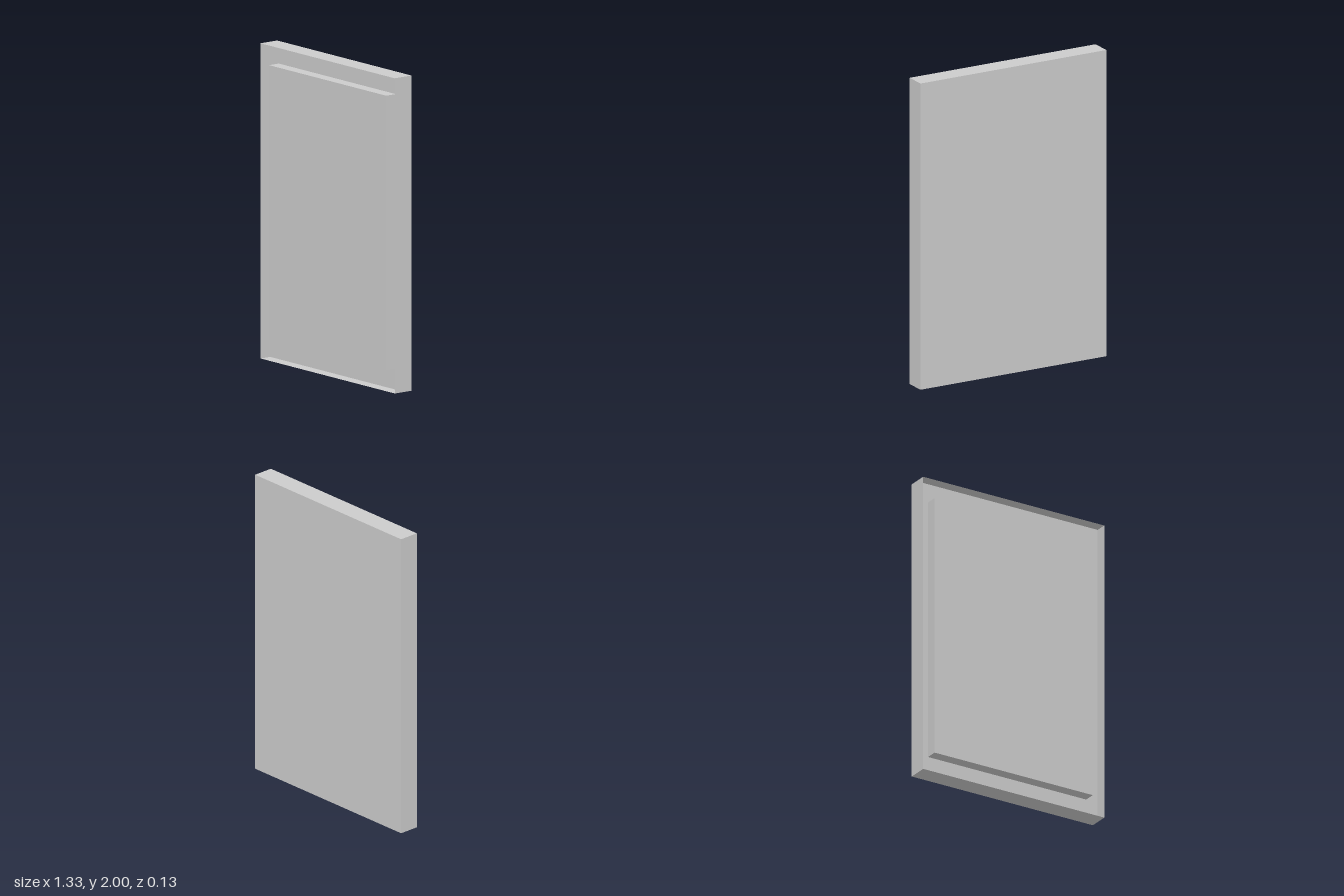
import * as THREE from 'three';

const W = 1.333, H = 2, D = 0.133; // overall size
const FLOOR = -0.01;               // z of the recessed face
const FRONT = D / 2;

export function createModel() {
  const group = new THREE.Group();
  const solid = new THREE.MeshStandardMaterial({ color: 0xcccccc });
  const thin = new THREE.MeshStandardMaterial({ color: 0xcccccc, side: THREE.DoubleSide });

  // Box given by its width, height, centre height and z range
  const slab = (name, w, h, y, z0, z1) => {
    const mesh = new THREE.Mesh(new THREE.BoxGeometry(w, h, z1 - z0), solid);
    mesh.name = name;
    mesh.position.set(0, y, (z0 + z1) / 2);
    group.add(mesh);
  };
  slab('backBody', W, H, H / 2, -FRONT, FLOOR);
  slab('raisedPanel', 1.163, 1.743, 1.004, FLOOR, FRONT);

  // Paper-thin rim around the recess
  const rimDepth = FRONT - FLOOR;
  const rim = new THREE.Group();
  rim.name = 'rim';
  rim.position.set(0, H / 2, (FRONT + FLOOR) / 2);
  for (const s of [-1, 1]) {
    const side = new THREE.Mesh(new THREE.PlaneGeometry(rimDepth, H), thin);
    side.name = s > 0 ? 'leftRim' : 'rightRim';
    side.rotation.y = s * Math.PI / 2;
    side.position.x = s * W / 2;

    const end = new THREE.Mesh(new THREE.PlaneGeometry(W, rimDepth), thin);
    end.name = s > 0 ? 'topRim' : 'bottomRim';
    end.rotation.x = -s * Math.PI / 2;
    end.position.y = s * H / 2;
    rim.add(side, end);
  }
  group.add(rim);
  return group;
}
